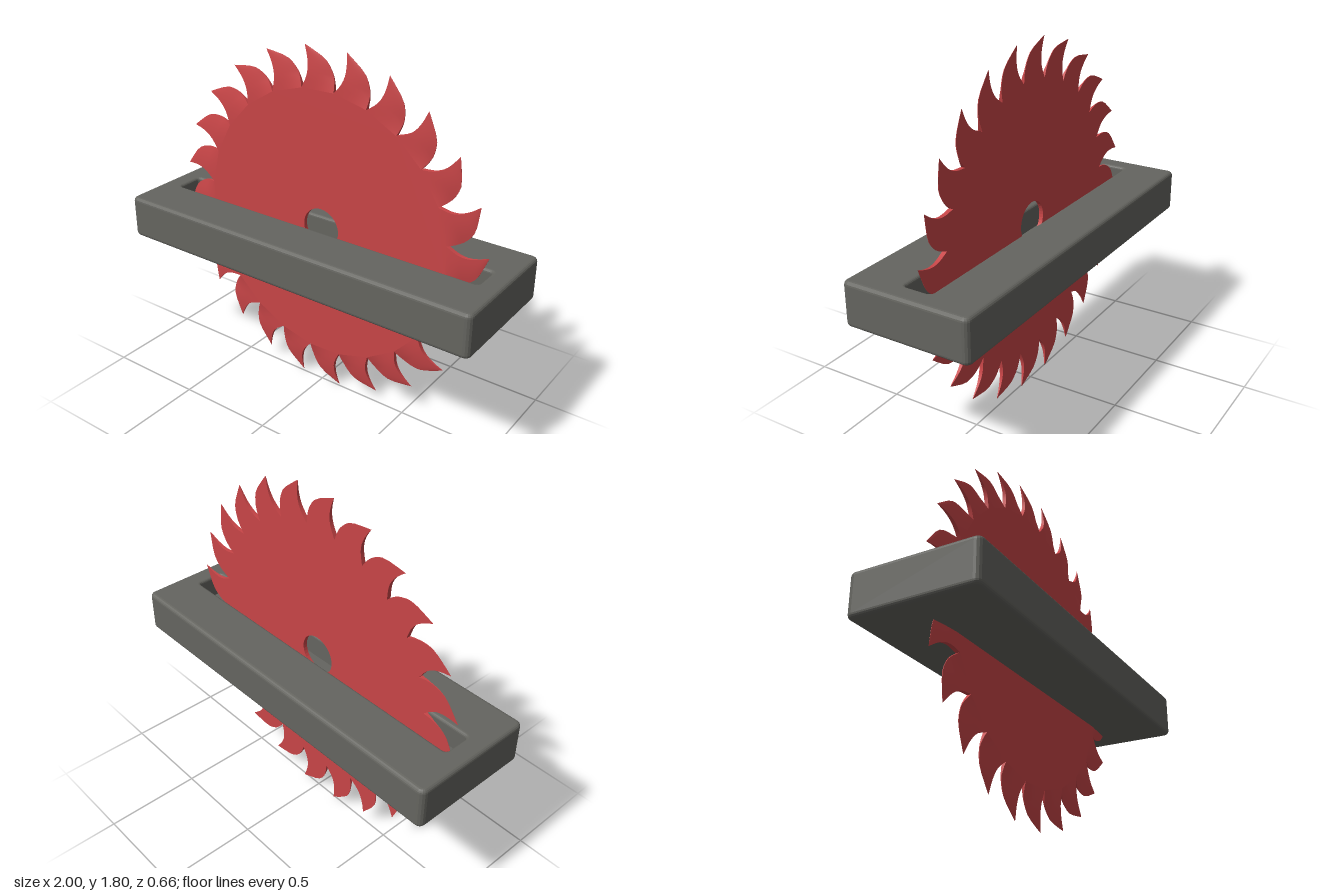
import * as THREE from 'three';
import { mergeGeometries } from 'three/addons/utils/BufferGeometryUtils.js';
import { ParametricGeometry } from 'three/addons/geometries/ParametricGeometry.js';

const TEETH = 24, STEP = 15, CENTRE_Y = 0.905;
const Z_FRONT = 0.012, Z_BACK = -0.01;

// Point at a clockwise angle from straight up, in degrees
function polar(deg, r) {
  const a = THREE.MathUtils.degToRad(deg);
  return new THREE.Vector2(r * Math.sin(a), r * Math.cos(a));
}
const spline = (list) => new THREE.SplineCurve(list.map(([d, r]) => polar(d, r)));

// Hooked tooth: concave leading edge, convex trailing edge, front ground down to the tip
function toothGeometry() {
  const lead = spline([[-9.2, 0.705], [-6.6, 0.755], [-5.7, 0.80], [-5.9, 0.85], [-6.8, 0.905]]);
  const trail = spline([[5.8, 0.705], [5.0, 0.755], [3.5, 0.80], [0.3, 0.85], [-6.8, 0.905]]);
  const at = (t, s, depth, out) => {
    const p = lead.getPoint(s).lerp(trail.getPoint(s), t);
    const drop = s * s + (1 - s * s) * 0.8 * t * t * Math.min(1, 3 * s);
    const front = THREE.MathUtils.lerp(Z_FRONT, Z_BACK, drop);
    out.set(p.x, p.y, THREE.MathUtils.lerp(Z_BACK, front, depth));
  };
  const faces = [
    [(u, v, o) => at(u, v, 1, o), 5],      // front
    [(u, v, o) => at(1 - u, v, 0, o), 5],  // back
    [(u, v, o) => at(0, v, u, o), 1],      // leading edge
    [(u, v, o) => at(1, v, 1 - u, o), 1],  // trailing edge
  ].map(([fn, across]) => {
    const g = new ParametricGeometry(fn, across, 10);
    g.computeVertexNormals();
    return g;
  });
  return mergeGeometries(faces);
}

// Flat body of the blade with its arbor hole
function discGeometry() {
  const valleys = [];
  for (let i = 0; i < TEETH; i++) valleys.push(polar(-9.2 - i * STEP, 0.705));
  const shape = new THREE.Shape(valleys);
  const hole = new THREE.Path();
  hole.absarc(0, 0, 0.103, 0, Math.PI * 2, true);
  shape.holes.push(hole);
  const g = new THREE.ExtrudeGeometry(shape, { depth: Z_FRONT - Z_BACK, bevelEnabled: false, curveSegments: 20 });
  return g.translate(0, 0, Z_BACK);
}

// Rounded rectangle in the xz plane at height y
function ring(hx, hz, r, y) {
  const points = [];
  for (let corner = 0; corner < 4; corner++) {
    const sx = corner === 0 || corner === 3 ? 1 : -1;
    const sz = corner < 2 ? 1 : -1;
    for (let k = 0; k <= 4; k++) {
      const a = (corner + k / 4) * Math.PI / 2;
      points.push([sx * (hx - r) + r * Math.cos(a), y, sz * (hz - r) + r * Math.sin(a)]);
    }
  }
  return points;
}

// Block with softened edges and a blind slot sunk into its top
function blockGeometry() {
  const rings = [ring(0, 0, 0, 0.70)];
  const softEdge = (hx, hz, r, y, from, b) => {
    for (let k = 0; k <= 4; k++) {
      const a = from + k / 4 * Math.PI / 2;
      const off = b * Math.cos(a);
      rings.push(ring(hx + off, hz + off, r + off, y + b * Math.sin(a)));
    }
  };
  softEdge(0.98, 0.308, 0.012, 0.72, -Math.PI / 2, 0.02);
  softEdge(0.98, 0.308, 0.012, 0.90, 0, 0.02);
  softEdge(0.91, 0.086, 0.034, 0.905, Math.PI / 2, 0.015);
  rings.push(ring(0.895, 0.071, 0.019, 0.80), ring(0, 0, 0, 0.80));

  const pos = [], n = rings[0].length;
  for (let i = 0; i < rings.length - 1; i++) {
    for (let j = 0; j < n; j++) {
      const k = (j + 1) % n;
      const a = rings[i][j], b = rings[i][k], c = rings[i + 1][j], d = rings[i + 1][k];
      pos.push(...a, ...c, ...b, ...b, ...c, ...d);
    }
  }
  const g = new THREE.BufferGeometry();
  g.setAttribute('position', new THREE.Float32BufferAttribute(pos, 3));
  g.computeVertexNormals();
  return g;
}

export function createModel() {
  const red = new THREE.MeshStandardMaterial({ color: 0xc84547 });
  red.name = 'blade red';
  const grey = new THREE.MeshStandardMaterial({ color: 0x656560 });
  grey.name = 'block grey';

  const model = new THREE.Group();
  model.name = 'slottedSawBlade';
  const add = (parent, name, geometry, material) => {
    const mesh = new THREE.Mesh(geometry, material);
    mesh.name = name;
    parent.add(mesh);
    return mesh;
  };

  add(model, 'slottedBlock', blockGeometry(), grey);

  const blade = new THREE.Group();
  blade.name = 'sawBlade';
  blade.position.y = CENTRE_Y;
  model.add(blade);
  add(blade, 'bladeDisc', discGeometry(), red);
  const tooth = toothGeometry();
  for (let i = 0; i < TEETH; i++) {
    add(blade, 'bladeTooth', tooth, red).rotation.z = -THREE.MathUtils.degToRad(i * STEP);
  }
  return model;
}
